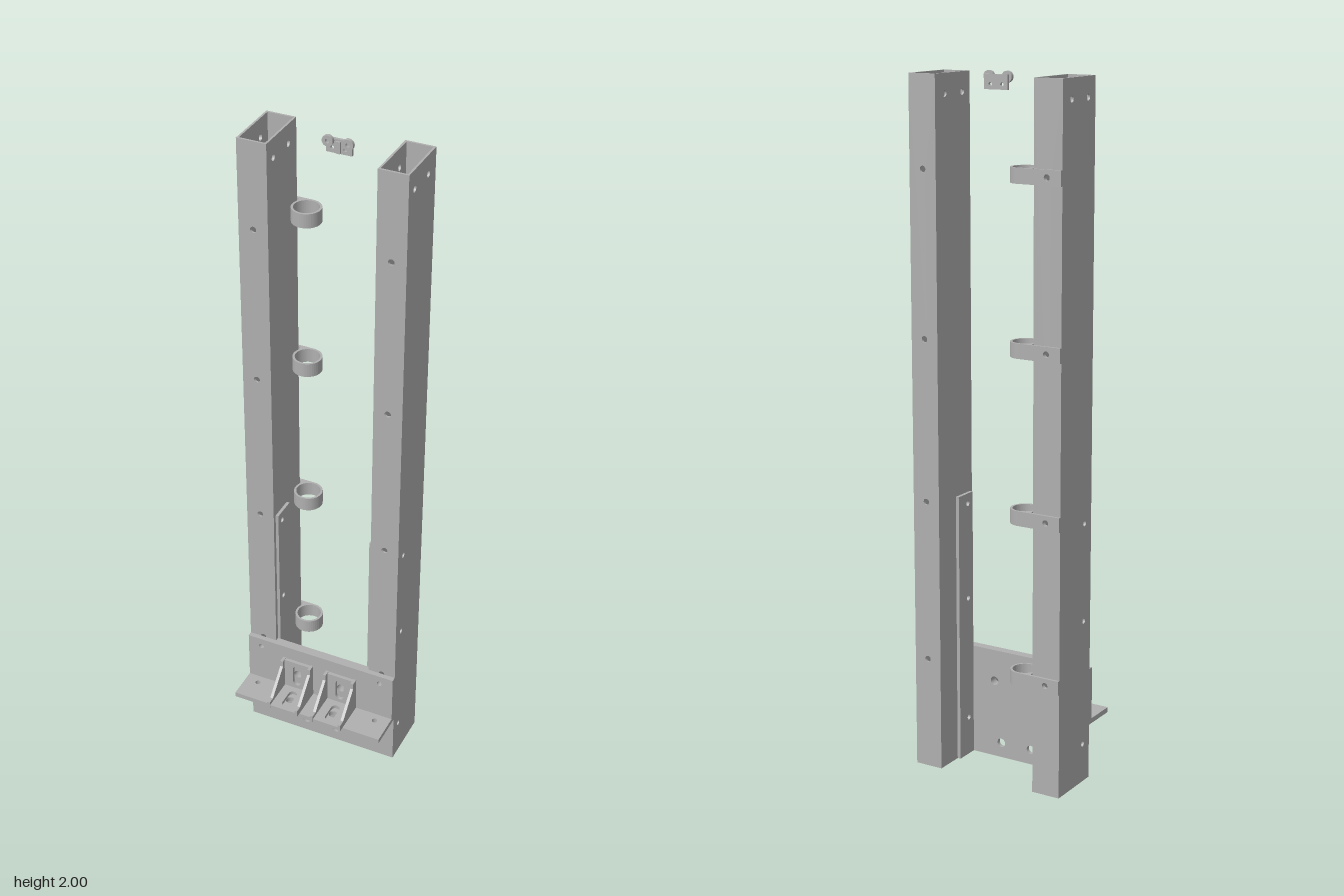
import * as THREE from 'three';

const steel = new THREE.MeshStandardMaterial({ color: 0xb0b0b0 });
steel.name = 'steel grey';

// Slot or round hole: [u, v, radius, half length along v]
function holePath([u, v, r, h = 0]) {
  const p = new THREE.Path();
  p.absarc(u, v + h, r, 0, Math.PI, false);
  p.absarc(u, v - h, r, Math.PI, Math.PI * 2, false);
  p.closePath();
  return p;
}

// Extrude a shape from a to b along an axis.
// axis z: (u,v) = (x,y); axis x: (u,v) = (z,y); axis y: (u,v) = (x,z)
function extrude(name, shape, axis, a, b) {
  const g = new THREE.ExtrudeGeometry(shape, { depth: b - a, bevelEnabled: false, curveSegments: 16 });
  if (axis === 'x') g.rotateY(-Math.PI / 2).translate(b, 0, 0);
  else if (axis === 'y') g.rotateX(Math.PI / 2).translate(0, b, 0);
  else g.translate(0, 0, a);
  const m = new THREE.Mesh(g, steel);
  m.name = name;
  return m;
}

// Rectangular plate with holes
function plate(name, axis, [u0, u1], [v0, v1], [a, b], holes = []) {
  const s = new THREE.Shape([[u0, v0], [u1, v0], [u1, v1], [u0, v1]].map(p => new THREE.Vector2(...p)));
  s.holes = holes.map(holePath);
  return extrude(name, s, axis, a, b);
}

function group(name, ...parts) {
  const g = new THREE.Group();
  g.name = name;
  g.add(...parts);
  return g;
}

const clipHeights = [0.33, 0.8, 1.267, 1.735];
const sideHoles = [0.115, 0.485, 0.77].map(y => [-0.012, y, 0.008]);

// Hollow rectangular upright, drilled on all four walls
function upright(name, x0, x1) {
  const w = 0.006, H = [0, 1.99], zb = -0.147, zf = 0.025;
  const faceHoles = clipHeights.map(y => [(x0 + x1) / 2, y, 0.009]);
  const holes = [...sideHoles, [-0.013, 1.935, 0.009], [-0.1, 1.935, 0.009]];
  return group(name,
    plate('frontWall', 'z', [x0, x1], H, [zf - w, zf], faceHoles),
    plate('backWall', 'z', [x0, x1], H, [zb, zb + w], faceHoles),
    plate('rightWall', 'x', [zb + w, zf - w], H, [x0, x0 + w], holes),
    plate('leftWall', 'x', [zb + w, zf - w], H, [x1 - w, x1], holes));
}

// Pipe clip: drilled strap behind the upright, running into a ring
function pipeClip(y) {
  const cx = -0.109, cz = -0.112, r = 0.042, h = 0.021;
  const s = new THREE.Shape();
  s.moveTo(-0.153, -0.154);
  s.lineTo(cx, -0.154);
  s.absarc(cx, cz, r, -Math.PI / 2, Math.PI * 1.13, false);
  s.quadraticCurveTo(-0.143, -0.145, -0.153, -0.147);
  s.closePath();
  s.holes.push(holePath([cx, cz, 0.0355]));
  return group('pipeClip',
    plate('strap', 'z', [-0.24, -0.153], [y - h, y + h], [-0.154, -0.147], [[-0.197, y, 0.009]]),
    extrude('ring', s, 'y', y - h, y + h));
}

// Slotted corner bracket with two sloping gussets
function cornerBracket(cx) {
  const side = new THREE.Shape([[0.04, 0.175], [0.153, 0.175], [0.153, 0.197], [0.132, 0.197],
    [0.062, 0.268], [0.062, 0.288], [0.04, 0.288]].map(p => new THREE.Vector2(...p)));
  const inner = [cx - 0.041, cx + 0.041];
  return group('cornerBracket',
    extrude('gusset', side, 'x', cx - 0.05, cx - 0.041),
    extrude('gusset', side, 'x', cx + 0.041, cx + 0.05),
    plate('foot', 'y', inner, [0.05, 0.151], [0.175, 0.186], [[cx, 0.102, 0.013, 0.021]]),
    plate('back', 'z', inner, [0.175, 0.286], [0.04, 0.05], [[cx, 0.235, 0.013, 0.024]]));
}

// Small catch hanging between the tops of the uprights
function catchPlate() {
  const g = group('catchPlate',
    plate('catchBody', 'z', [-0.036, 0.037], [1.95, 1.99], [-0.085, -0.077], [[-0.018, 1.964, 0.005], [0.018, 1.964, 0.005]]),
    plate('catchRib', 'z', [-0.006, 0.006], [1.952, 1.985], [-0.077, -0.071]));
  for (const x of [-0.028, 0.029]) {
    const ear = new THREE.Shape();
    ear.absarc(x, 1.984, 0.0155, 0, Math.PI * 2, false);
    ear.holes.push(holePath([x, 1.984, 0.006]));
    g.add(extrude('catchEar', ear, 'z', -0.077, -0.067));
  }
  return g;
}

export function createModel() {
  const bracketX = [-0.073, 0.07];
  const boltHoles = bracketX.map(x => [x, 0.235, 0.013]);
  const model = group('uprightFrame',
    upright('rightUpright', -0.24, -0.154),
    upright('leftUpright', 0.153, 0.238),
    // Inner flanges beside the uprights
    plate('rightFlange', 'x', [-0.06, 0.013], [0, 0.8], [-0.154, -0.145], sideHoles),
    plate('leftFlange', 'x', [-0.06, 0.013], [0, 0.8], [0.143, 0.153], sideHoles),
    // Plate joining the uprights
    plate('basePlate', 'z', [-0.154, 0.153], [0, 0.33], [0.013, 0.025],
      [[-0.053, 0.045, 0.013], [0.047, 0.045, 0.013], ...boltHoles]),
    // Angle iron across the front
    group('angleIron',
      plate('webPlate', 'z', [-0.24, 0.238], [0.16, 0.33], [0.025, 0.04],
        [[-0.197, 0.302, 0.008], [0.195, 0.302, 0.008], ...boltHoles]),
      plate('shelf', 'y', [-0.24, 0.238], [0.04, 0.137], [0.16, 0.175],
        [[-0.198, 0.067, 0.008], [0.194, 0.067, 0.008], ...bracketX.map(x => [x, 0.096, 0.013])])),
    catchPlate());
  bracketX.forEach(x => model.add(cornerBracket(x)));
  clipHeights.forEach(y => model.add(pipeClip(y)));
  return model;
}
